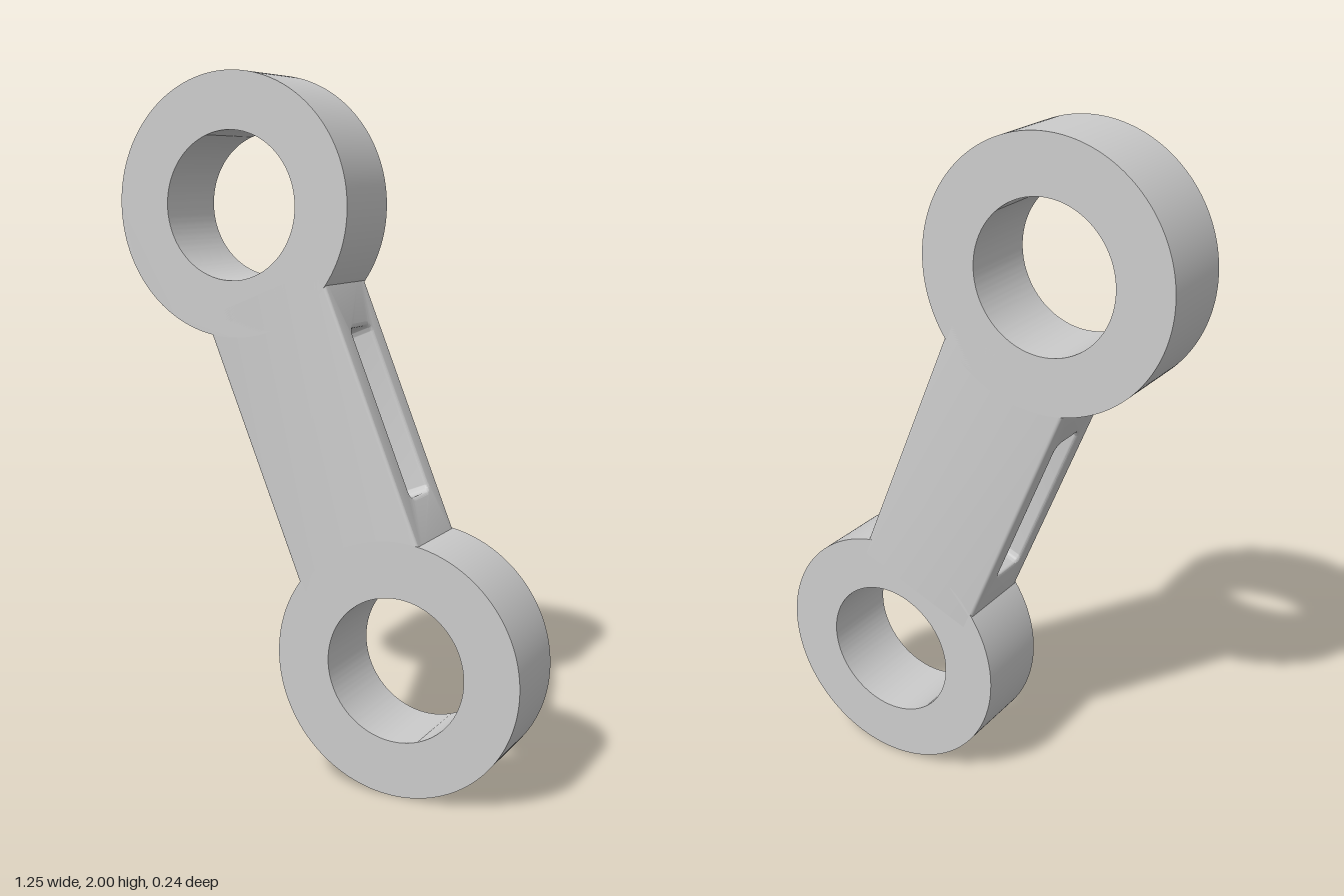
import * as THREE from 'three';
import { toCreasedNormals } from 'three/addons/utils/BufferGeometryUtils.js';

const HALF_DEPTH = 0.122;
const EYE = { x: 0.258, y: 0.633, outer: 0.367, inner: 0.207 };
const BAR = { halfWidth: 0.198, halfLength: 0.424, fillet: 0.01 };
const SLOT = { halfWidth: 0.06, halfLength: 0.248, radius: 0.022 };

const material = new THREE.MeshStandardMaterial({ color: 0xcccccc });

function addMesh(parent, name, geometry) {
  const mesh = new THREE.Mesh(toCreasedNormals(geometry, 0.5), material);
  mesh.name = name;
  parent.add(mesh);
  return mesh;
}

function rectangle(path, w, h) {
  path.moveTo(-w, -h);
  path.lineTo(w, -h);
  path.lineTo(w, h);
  path.lineTo(-w, h);
  path.closePath();
  return path;
}

function roundedRectangle(path, w, h, r) {
  path.absarc(w - r, h - r, r, 0, Math.PI / 2);
  path.absarc(-w + r, h - r, r, Math.PI / 2, Math.PI);
  path.absarc(-w + r, -h + r, r, Math.PI, Math.PI * 1.5);
  path.absarc(w - r, -h + r, r, Math.PI * 1.5, Math.PI * 2);
  path.closePath();
  return path;
}

// Thick ring with a round bore
function eyeGeometry() {
  const shape = new THREE.Shape();
  shape.absarc(0, 0, EYE.outer, 0, Math.PI * 2);
  const bore = new THREE.Path();
  bore.absarc(0, 0, EYE.inner, 0, Math.PI * 2, true);
  shape.holes.push(bore);
  const geometry = new THREE.ExtrudeGeometry(shape, {
    depth: HALF_DEPTH * 2, bevelEnabled: false, curveSegments: 96,
  });
  return geometry.translate(0, 0, -HALF_DEPTH);
}

// Bar extruded across its width, so the slot runs from one narrow side to the other
function barGeometry() {
  const f = BAR.fillet;
  const shape = rectangle(new THREE.Shape(), HALF_DEPTH, BAR.halfLength);
  shape.holes.push(roundedRectangle(new THREE.Path(), SLOT.halfWidth, SLOT.halfLength, SLOT.radius));
  const depth = 2 * (BAR.halfWidth - f);
  const geometry = new THREE.ExtrudeGeometry(shape, {
    depth, curveSegments: 8,
    bevelThickness: f, bevelSize: f, bevelOffset: -f, bevelSegments: 4,
  });
  return geometry.translate(0, 0, -depth / 2).rotateY(Math.PI / 2);
}

export function createModel() {
  const model = new THREE.Group();
  model.name = 'connectingLink';

  // Upper eye leans to -x, lower eye to +x
  for (const [name, side] of [['upperEye', 1], ['lowerEye', -1]]) {
    addMesh(model, name, eyeGeometry()).position.set(-side * EYE.x, 1 + side * EYE.y, 0);
  }

  // Slotted bar along the line between the eyes, its ends buried in the rings
  const bar = addMesh(model, 'slottedBar', barGeometry());
  bar.position.y = 1;
  bar.rotation.z = Math.atan2(EYE.x, EYE.y);

  return model;
}
